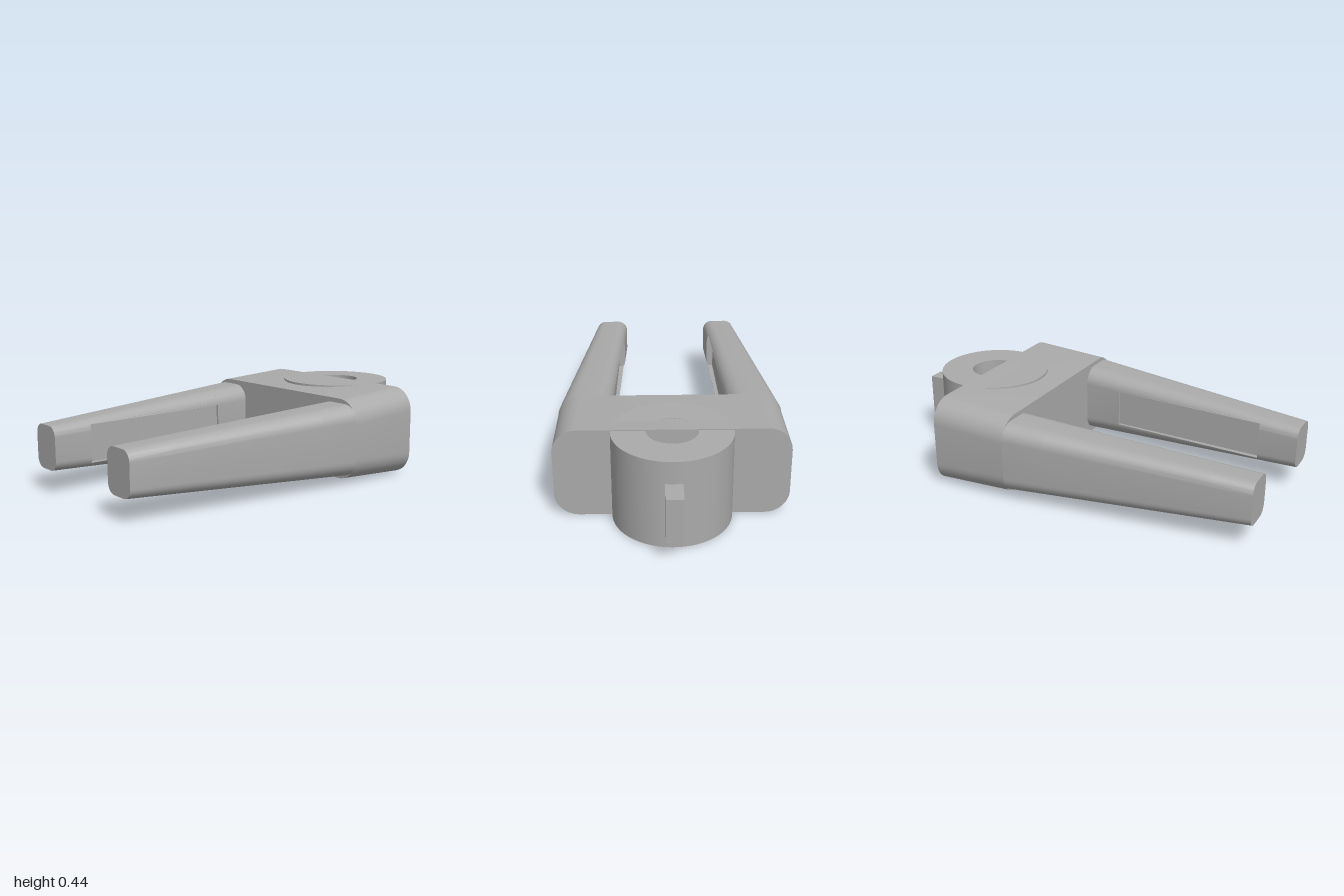
import * as THREE from 'three';
import { toCreasedNormals } from 'three/addons/utils/BufferGeometryUtils.js';

const MID = 0.2275; // height of the centre line
const SLOT = 0.095; // half height of the recess in each arm

// Rounded cross-section at x; with a floor, a recess is cut into the z0 side
function section(x, z0, z1, h, r, floor) {
  const pts = [], n = 10;
  const add = (z, y) => pts.push(new THREE.Vector3(x, MID + y, z));
  const flat = h - r;
  const edge = floor === undefined ? flat : SLOT;
  const stop = Math.asin(Math.max(0, (edge - flat) / r));
  const arc = (cz, cy, a, b) => {
    for (let i = 0; i <= n; i++) {
      const t = a + (b - a) * i / n;
      add(cz + r * Math.cos(t), cy + r * Math.sin(t));
    }
  };
  const lip = z0 + r - r * Math.cos(stop);
  const depth = floor === undefined ? lip : floor;
  const e = Math.min(edge, flat + r);
  arc(z1 - r, flat, 0, Math.PI / 2);
  arc(z0 + r, flat, Math.PI / 2, Math.PI - stop);
  add(lip, e);
  add(depth, e);
  add(depth, -e);
  add(lip, -e);
  arc(z0 + r, -flat, Math.PI + stop, Math.PI * 1.5);
  arc(z1 - r, -flat, Math.PI * 1.5, Math.PI * 2);
  return pts;
}

// Closed skin over cross-sections running along +x, optionally mirrored in z
function loft(sections, mirror = false) {
  const pos = [];
  const tri = (a, b, c) => {
    const area = b.clone().sub(a).cross(c.clone().sub(a)).length();
    if (area < 1e-9) return;
    for (const p of mirror ? [a, c, b] : [a, b, c]) pos.push(p.x, p.y, mirror ? -p.z : p.z);
  };
  const m = sections[0].length;
  for (let i = 0; i < sections.length - 1; i++) {
    const s = sections[i], t = sections[i + 1];
    for (let j = 0; j < m; j++) {
      const k = (j + 1) % m;
      tri(s[j], t[j], t[k]);
      tri(s[j], t[k], s[k]);
    }
  }
  const first = sections[0], last = sections[sections.length - 1];
  for (let j = 1; j < m - 1; j++) {
    tri(first[0], first[j], first[j + 1]);
    tri(last[0], last[j + 1], last[j]);
  }
  const g = new THREE.BufferGeometry();
  g.setAttribute('position', new THREE.Float32BufferAttribute(pos, 3));
  return toCreasedNormals(g, 0.5);
}

// Tapering arm section at x
function armSection(x, floor) {
  const t = (x + 1) / 1.2;
  const mix = (a, b) => a + (b - a) * t;
  return section(x, mix(0.232, 0.292), mix(0.407, 0.547), mix(0.1075, 0.178), mix(0.05, 0.08), floor);
}

export function createModel() {
  const group = new THREE.Group();
  const grey = new THREE.MeshStandardMaterial({ color: 0xaaaaaa });
  grey.name = 'plain grey';
  const add = (name, geometry) => {
    const mesh = new THREE.Mesh(geometry, grey);
    mesh.name = name;
    group.add(mesh);
    return mesh;
  };

  // Cross block, slightly taller toward the hinge
  add('crossBlock', loft([
    section(0.2, -0.547, 0.547, 0.2, 0.115),
    section(0.597, -0.547, 0.547, 0.2225, 0.115),
  ]));

  // Two arms with a shallow recess on the inner faces
  const arm = [
    armSection(-1), armSection(-0.8),
    armSection(-0.8, 0.277), armSection(0, 0.295),
    armSection(0), armSection(0.2),
  ];
  add('leftArm', loft(arm));
  add('rightArm', loft(arm, true));

  // Upright hinge ring, half sunk into the block
  const ring = new THREE.Shape().absarc(0, 0, 0.28, 0, Math.PI * 2);
  ring.holes.push(new THREE.Path().absarc(0, 0, 0.12, 0, Math.PI * 2, true));
  const ringGeometry = new THREE.ExtrudeGeometry(ring, { depth: 0.435, bevelEnabled: false, curveSegments: 64 });
  ringGeometry.rotateX(-Math.PI / 2);
  add('hingeRing', toCreasedNormals(ringGeometry, 0.5)).position.set(0.597, 0.01, 0);

  // Flat tab passing through the ring
  add('tab', new THREE.BoxGeometry(0.44, 0.217, 0.08)).position.set(0.78, MID, 0);

  return group;
}
